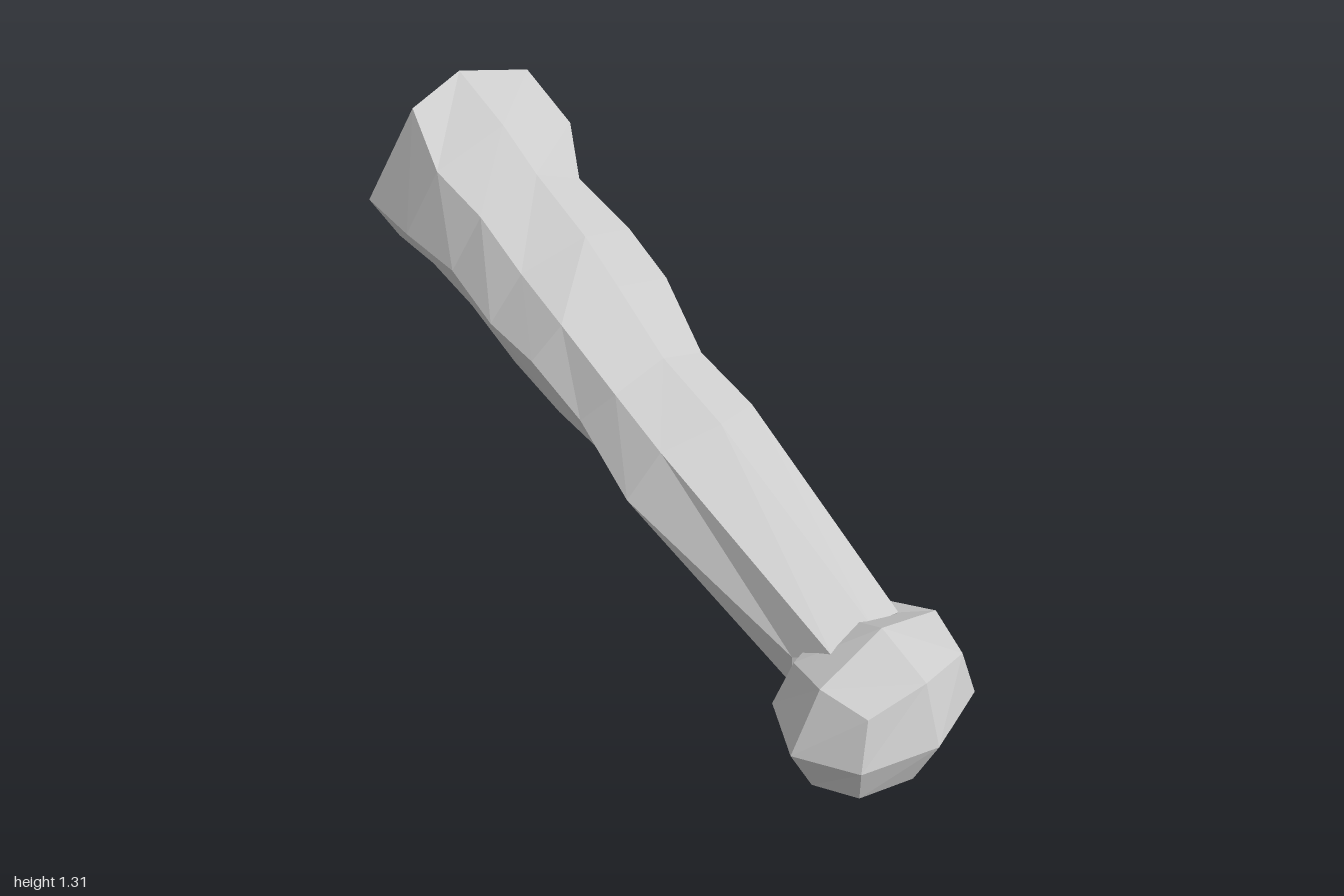
import * as THREE from 'three';

const grey = () => new THREE.MeshStandardMaterial({ color: 0xcccccc, flatShading: true });

// Arm cross-sections from elbow to wrist. Each lists [x, y] for the
// top ridge, upper side, widest side, lower side and bottom ridge.
const profiles = [
  [[-0.86, 1.31], [-0.82, 1.27], [-0.93, 0.99], [-0.91, 0.86], [-0.97, 0.80]],
  [[-0.67, 1.22], [-0.68, 1.15], [-0.75, 0.96], [-0.73, 0.83], [-0.82, 0.78]],
  [[-0.53, 1.13], [-0.53, 1.07], [-0.57, 0.92], [-0.60, 0.77], [-0.61, 0.71]],
  [[-0.33, 1.03], [-0.37, 0.97], [-0.40, 0.84], [-0.41, 0.68], [-0.43, 0.625]],
  [[-0.20, 0.94], [-0.20, 0.90], [-0.24, 0.80], [-0.22, 0.62], [-0.30, 0.55]],
  [[-0.02, 0.81], [-0.02, 0.77], [-0.09, 0.68], [-0.10, 0.57], [-0.12, 0.51]],
  [[0.20, 0.725], [0.16, 0.695], [0.13, 0.57], [0.10, 0.46], [0.08, 0.40]],
  [[0.74, 0.43], [0.74, 0.41], [0.64, 0.35], [0.62, 0.22], [0.61, 0.19]],
];
// Depth of the upper, widest and lower side points, front then back
const frontZ = [
  [0.16, 0.26, 0.19], [0.19, 0.26, 0.18], [0.165, 0.24, 0.17], [0.16, 0.245, 0.17],
  [0.165, 0.235, 0.17], [0.14, 0.20, 0.15], [0.145, 0.23, 0.16], [0.11, 0.14, 0.11],
];
const backZ = [
  [0.215, 0.27, 0.19], [0.25, 0.27, 0.18], [0.16, 0.24, 0.17], [0.20, 0.26, 0.17],
  [0.185, 0.245, 0.17], [0.15, 0.19, 0.15], [0.165, 0.21, 0.16], [0.12, 0.14, 0.11],
];

// Eight-sided loft through the cross-sections, closed at both ends
function armGeometry() {
  const positions = [];
  const index = [];
  profiles.forEach((p, i) => {
    const [top, upper, wide, lower, bottom] = p;
    const f = frontZ[i], b = backZ[i];
    positions.push(
      ...top, -0.02,
      ...upper, f[0], ...wide, f[1], ...lower, f[2],
      ...bottom, 0,
      ...lower, -b[2], ...wide, -b[1], ...upper, -b[0],
    );
  });
  const sides = 8;
  const last = profiles.length - 1;
  const elbow = positions.length / 3;
  positions.push(-1.0, 1.0, 0, 0.68, 0.3, 0);
  for (let j = 0; j < sides; j++) {
    const k = (j + 1) % sides;
    for (let i = 0; i < last; i++) {
      const a = i * sides, b = a + sides;
      index.push(a + j, a + k, b + k, a + j, b + k, b + j);
    }
    index.push(elbow, k, j, elbow + 1, last * sides + j, last * sides + k);
  }
  const geometry = new THREE.BufferGeometry();
  geometry.setAttribute('position', new THREE.Float32BufferAttribute(positions, 3));
  geometry.setIndex(index);
  const flat = geometry.toNonIndexed();
  flat.computeVertexNormals();
  return flat;
}

// Subdivided box pushed out onto an ellipsoid
function fistGeometry() {
  const box = new THREE.BoxGeometry(1, 1, 1, 2, 2, 2);
  const pos = box.attributes.position;
  const v = new THREE.Vector3();
  for (let i = 0; i < pos.count; i++) {
    v.fromBufferAttribute(pos, i).normalize();
    pos.setXYZ(i, v.x * 0.21, v.y * 0.235, v.z * 0.285);
  }
  const flat = box.toNonIndexed();
  flat.computeVertexNormals();
  return flat;
}

export function createModel() {
  const group = new THREE.Group();
  group.name = 'armWithFist';

  const arm = new THREE.Mesh(armGeometry(), grey());
  arm.name = 'arm';

  const fist = new THREE.Mesh(fistGeometry(), grey());
  fist.name = 'fist';
  fist.position.set(0.79, 0.235, 0);

  group.add(arm, fist);
  return group;
}
